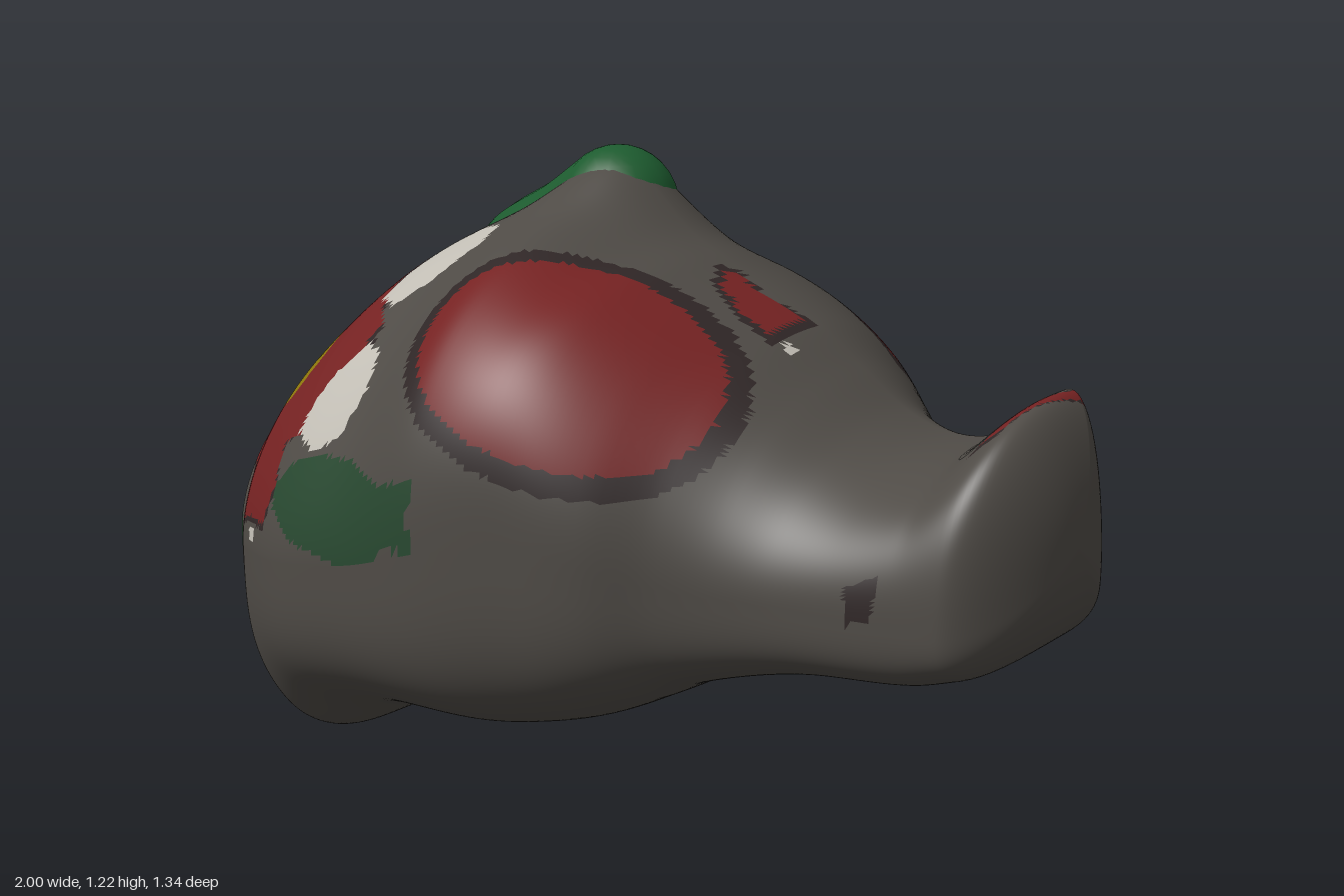
import * as THREE from 'three';

const mat = (name, color) => Object.assign(new THREE.MeshStandardMaterial({ color }), { name });
const MATS = [
  mat('stone grey', 0x4f4b46), mat('dark brown', 0x2f2626), mat('red', 0x752222),
  mat('leaf green', 0x284830), mat('white', 0xc2beb5), mat('yellow', 0x8d770c), mat('vine green', 0x1d5b2f),
];
const [GREY, DARK, RED, LEAF, WHITE, YELLOW, VINE] = MATS.keys();

// Smooth curve through x, value pairs
function profile(...f) {
  const n = f.length / 2, X = i => f[2 * i], Y = i => f[2 * i + 1];
  const slope = i => {
    const a = Math.max(i - 1, 0), b = Math.min(i + 1, n - 1);
    return (Y(b) - Y(a)) / (X(b) - X(a));
  };
  return x => {
    let i = 0;
    while (i < n - 2 && x > X(i + 1)) i++;
    const h = X(i + 1) - X(i), t = THREE.MathUtils.clamp((x - X(i)) / h, 0, 1), u = 1 - t;
    return Y(i) * (1 + 2 * t) * u * u + slope(i) * h * t * u * u
      + Y(i + 1) * t * t * (3 - 2 * t) - slope(i + 1) * h * t * t * u;
  };
}

// Body outlines along its length
const X0 = -0.83, X1 = 1;
const top = profile(-0.83, 0.66, -0.75, 0.73, -0.6, 0.88, -0.4, 1.02, -0.2, 1.09, -0.05, 1.1, 0.1, 1.04,
  0.2, 1.01, 0.4, 0.92, 0.5, 0.85, 0.6, 0.78, 0.7, 0.75, 0.8, 0.77, 0.88, 0.84, 0.93, 0.88, 1, 0.88);
const bottom = profile(-0.83, 0.1, -0.7, 0.11, -0.5, 0.13, -0.2, 0.155, 0, 0.155, 0.1, 0.17, 0.2, 0.2, 0.3, 0.25,
  0.4, 0.3, 0.6, 0.35, 0.8, 0.37, 0.9, 0.4, 1, 0.42);
const backZ = profile(-0.83, -0.38, -0.75, -0.43, -0.6, -0.54, -0.45, -0.61, -0.2, -0.61, 0, -0.63, 0.1, -0.665,
  0.2, -0.67, 0.3, -0.6, 0.4, -0.5, 0.5, -0.37, 0.6, -0.24, 0.7, -0.18, 0.8, -0.15, 1, -0.12);
const frontZ = profile(-0.83, 0.34, -0.7, 0.43, -0.6, 0.52, -0.4, 0.63, -0.2, 0.66, 0, 0.665, 0.2, 0.62,
  0.3, 0.58, 0.4, 0.51, 0.5, 0.46, 0.6, 0.43, 0.8, 0.4, 0.9, 0.38, 1, 0.34);
const waistFront = profile(-0.83, 0.4, -0.2, 0.5, 0.1, 0.58, 0.3, 0.55, 0.5, 0.52, 1, 0.52);
const waistBack = profile(-0.83, 0.38, 0.3, 0.4, 0.6, 0.48, 1, 0.5);
const powerFront = profile(-0.83, 1.9, -0.5, 1.75, -0.2, 1.9, 0, 2.6, 0.15, 3, 0.35, 2.3, 0.55, 2.1, 0.8, 2.7, 1, 2.9);
const powerBack = profile(-0.83, 2, -0.45, 2.1, 0, 1.8, 0.3, 1.9, 0.6, 1.7, 1, 1.6);
const gauss = (a, b) => Math.exp(-a * a - b * b);

// Point on the body: squared-off ovals with a summit, a foot and rounded ends
function bodyPoint(x, t) {
  const c = Math.cos(t), s = Math.sin(t), front = c > 0, up = s > 0;
  const p = up ? (front ? powerFront(x) : powerBack(x)) : (front ? 3.6 : 4.2);
  const k = v => Math.pow(Math.abs(v), 2 / p);
  const waist = front ? waistFront(x) : waistBack(x);
  let z = k(c) * (front ? frontZ(x) : backZ(x));
  let y = waist + k(s) * ((up ? top(x) : bottom(x)) - waist);
  if (up) y += 0.09 * s * gauss((x + 0.05) / 0.15, (z + 0.02) / 0.16);
  else y += 0.15 * s * gauss((x + 0.61) / (x < -0.61 ? 0.13 : 0.27), (z - 0.31) / 0.24);
  const d = Math.max((X0 + 0.1 - x) / 0.1, (x - X1 + 0.12) / 0.12, 0);
  const cap = Math.sqrt(Math.max(0, 1 - d * d)), cy = x < 0 ? 0.38 : 0.62, cz = x < 0 ? 0.02 : 0.12;
  return [x, cy + (y - cy) * cap, cz + (z - cz) * cap];
}

// Flat directions from which painted patches are laid on the skin
const R = Math.SQRT1_2;
const VIEWS = {
  top: [(x, y, z) => [x, z], n => n.y], front: [(x, y) => [x, y], n => n.z],
  back: [(x, y) => [x, y], n => -n.z], right: [(x, y, z) => [z, y], n => n.x],
  left: [(x, y, z) => [z, y], n => -n.x], slant: [(x, y, z) => [x, (y - z) * R], n => (n.y + n.z) * R],
};
const patches = [];
function paint(view, material, ...f) {
  const pts = [];
  for (let i = 0; i < f.length; i += 2) pts.push([f[i], f[i + 1]]);
  patches.push({ view: VIEWS[view], material, pts });
}
function oval(view, material, u, v, ru, rv) {
  const f = [];
  for (let i = 0; i < 28; i++) f.push(u + ru * Math.cos(i * Math.PI / 14), v + rv * Math.sin(i * Math.PI / 14));
  paint(view, material, ...f);
}
// Red shapes that share one dark rim
function edged(grow, ...shapes) {
  for (const [view, ...f] of shapes) {
    const n = f.length / 2, mid = [0, 0];
    f.forEach((v, i) => { mid[i % 2] += v / n; });
    paint(view, DARK, ...f.map((v, i) => mid[i % 2] + (v - mid[i % 2]) * grow));
  }
  for (const [view, ...f] of shapes) paint(view, RED, ...f);
}
const inside = (pts, u, v) => pts.reduce((hit, [a, b], i) => {
  const [c, d] = pts[(i + pts.length - 1) % pts.length];
  return (b > v) !== (d > v) && u < (c - a) * (v - b) / (d - b) + a ? !hit : hit;
}, false);

function paintAll() {
  patches.length = 0;
  // Large front spot and small ridge spot
  oval('slant', DARK, 0.17, 0.31, 0.295, 0.255);
  oval('slant', RED, 0.17, 0.31, 0.26, 0.22);
  edged(1.3, ['top', 0.22, 0.04, 0.25, 0.02, 0.31, 0.04, 0.39, 0.02, 0.39, 0.14, 0.33, 0.14, 0.26, 0.1]);
  oval('top', WHITE, 0.43, 0.13, 0.013, 0.013);
  // Ragged rear spot
  paint('top', DARK, -0.14, -0.52, -0.1, -0.58, 0.08, -0.61, 0.2, -0.58, 0.35, -0.44, 0.46, -0.36, 0.46, -0.2,
    0.35, -0.23, 0.22, -0.31, 0.25, -0.38, 0.17, -0.5, 0, -0.5, -0.12, -0.48);
  edged(1.1, ['back', 0.1, 0.73, 0.15, 0.78, 0.3, 0.78, 0.46, 0.7, 0.48, 0.58, 0.36, 0.6, 0.27, 0.6, 0.2, 0.55,
    0.16, 0.4, 0.12, 0.41, 0.1, 0.6]);
  paint('top', RED, 0.24, -0.33, 0.34, -0.33, 0.42, -0.28, 0.43, -0.23, 0.33, -0.27);
  oval('right', WHITE, -0.33, 0.53, 0.04, 0.045);
  // Leaves
  paint('front', LEAF, -0.43, 0.6, -0.38, 0.65, -0.3, 0.68, -0.2, 0.69, -0.08, 0.67, 0.0, 0.69, -0.02, 0.62, 0, 0.56,
    -0.06, 0.56, -0.12, 0.52, -0.2, 0.5, -0.35, 0.52, -0.42, 0.56);
  paint('front', LEAF, -0.74, 0.5, -0.7, 0.39, -0.78, 0.38, -0.78, 0.43);
  paint('top', LEAF, -0.27, -0.2, -0.24, -0.32, -0.18, -0.41, -0.1, -0.45, 0.0, -0.42, 0.16, -0.41, 0.08, -0.3,
    0.04, -0.2, -0.1, -0.19, -0.15, -0.25);
  paint('back', LEAF, -0.22, 0.85, -0.15, 0.75, -0.1, 0.6, -0.16, 0.48, -0.24, 0.39, -0.33, 0.48, -0.36, 0.62, -0.31, 0.75);
  paint('left', LEAF, -0.22, 0.37, -0.24, 0.49, -0.12, 0.61, 0.01, 0.67, 0.04, 0.56, -0.03, 0.45, -0.13, 0.36);
  // Flower with pale petals and a yellow heart
  edged(1.06,
    ['top', -0.75, 0.05, -0.55, 0.03, -0.57, 0.2, -0.52, 0.22, -0.54, 0.14, -0.4, 0.13, -0.42, 0.26,
      -0.34, 0.38, -0.3, 0.42, -0.38, 0.5, -0.5, 0.5, -0.65, 0.4, -0.7, 0.3, -0.72, 0.2],
    ['front', -0.76, 0.57, -0.7, 0.68, -0.62, 0.78, -0.5, 0.88, -0.42, 0.96, -0.38, 0.88, -0.29, 0.86, -0.36, 0.79,
      -0.39, 0.7, -0.45, 0.67, -0.43, 0.6, -0.46, 0.52, -0.55, 0.51, -0.68, 0.46, -0.66, 0.55]);
  oval('top', YELLOW, -0.58, 0.33, 0.06, 0.065);
  paint('top', WHITE, -0.41, 0.22, -0.37, 0.14, -0.3, 0.12, -0.22, 0.17, -0.2, 0.25, -0.24, 0.34, -0.32, 0.37, -0.4, 0.31);
  paint('front', WHITE, -0.4, 0.7, -0.32, 0.68, -0.25, 0.72, -0.22, 0.8, -0.24, 0.86, -0.3, 0.87, -0.36, 0.81, -0.39, 0.76);
  oval('top', WHITE, -0.66, -0.05, 0.075, 0.08);
  oval('left', WHITE, 0.15, 0.53, 0.03, 0.045);
  oval('front', WHITE, -0.53, 0.48, 0.02, 0.015);
  // Snout marks
  paint('front', DARK, 0.72, 0.57, 0.78, 0.6, 0.77, 0.52, 0.73, 0.51);
  edged(1.2, ['top', 0.925, 0.0, 0.945, 0.0, 0.9, 0.22, 0.87, 0.24]);
}

function buildBody() {
  const NU = 190, NV = 290, pos = [], buckets = MATS.map(() => []);
  for (let i = 0; i <= NU; i++) {
    const x = (X0 + X1) / 2 - (X1 - X0) / 2 * Math.cos(Math.PI * i / NU);
    for (let j = 0; j < NV; j++) pos.push(...bodyPoint(x, 2 * Math.PI * j / NV));
  }
  const geo = new THREE.BufferGeometry();
  geo.setAttribute('position', new THREE.Float32BufferAttribute(pos, 3));
  // Sort each face into its paint colour
  const tri = new THREE.Triangle(), mid = new THREE.Vector3(), n = new THREE.Vector3();
  const addFace = (...ids) => {
    tri.setFromAttributeAndIndices(geo.attributes.position, ...ids);
    tri.getMidpoint(mid);
    tri.getNormal(n);
    let m = GREY;
    for (const { view: [flat, facing], material, pts } of patches)
      if (facing(n) > 0.12 && inside(pts, ...flat(mid.x, mid.y, mid.z))) m = material;
    buckets[m].push(...ids);
  };
  for (let i = 0; i < NU; i++) for (let j = 0; j < NV; j++) {
    const a = i * NV + j, c = i * NV + (j + 1) % NV;
    addFace(a, a + NV, c + NV);
    addFace(a, c + NV, c);
  }
  const index = [];
  buckets.forEach((b, m) => {
    if (b.length) geo.addGroup(index.length, b.length, m);
    for (const v of b) index.push(v);
  });
  geo.setIndex(index);
  geo.computeVertexNormals();
  const mesh = new THREE.Mesh(geo, MATS);
  mesh.name = 'body';
  return mesh;
}

export function createModel() {
  const model = new THREE.Group();
  paintAll();
  const body = buildBody();
  model.add(body);

  // Upturned, tapering tail stub
  const tailGeo = new THREE.SphereGeometry(1, 32, 24), p = tailGeo.attributes.position;
  for (let i = 0; i < p.count; i++) {
    const t = Math.max(0, -p.getX(i));
    p.setXYZ(i, -0.8 + 0.2 * p.getX(i), 0.195 + 0.115 * p.getY(i) + 0.09 * t * t, 0.125 * (1 - 0.5 * t) * p.getZ(i));
  }
  tailGeo.computeVertexNormals();
  const tail = new THREE.Mesh(tailGeo, MATS[GREY]);
  tail.name = 'tail';
  model.add(tail);

  // Raised winding vine, half sunk in the skin
  const ray = new THREE.Raycaster(), path = [];
  const lay = (from, dir) => {
    ray.set(new THREE.Vector3(...from), new THREE.Vector3(...dir));
    const hit = ray.intersectObject(body)[0];
    if (hit) path.push(hit.point.addScaledVector(hit.face.normal, -0.085));
  };
  for (const [x, z] of [[-0.11, -0.06], [-0.22, -0.05], [-0.36, -0.07], [-0.49, -0.18], [-0.45, -0.33], [-0.41, -0.47]])
    lay([x, 3, z], [0, -1, 0]);
  lay([-0.45, 0.65, -3], [0, 0, 1]);
  lay([-0.61, 0.54, -3], [0, 0, 1]);
  lay([-3, 0.45, -0.34], [1, 0, 0]);
  const vine = new THREE.Group();
  vine.name = 'vine';
  vine.add(new THREE.Mesh(new THREE.TubeGeometry(new THREE.CatmullRomCurve3(path), 90, 0.12, 22), MATS[VINE]));
  for (const end of [path[0], path[path.length - 1]]) {
    const tip = new THREE.Mesh(new THREE.SphereGeometry(0.12, 22, 16), MATS[VINE]);
    tip.position.copy(end);
    vine.add(tip);
  }
  model.add(vine);
  return model;
}
